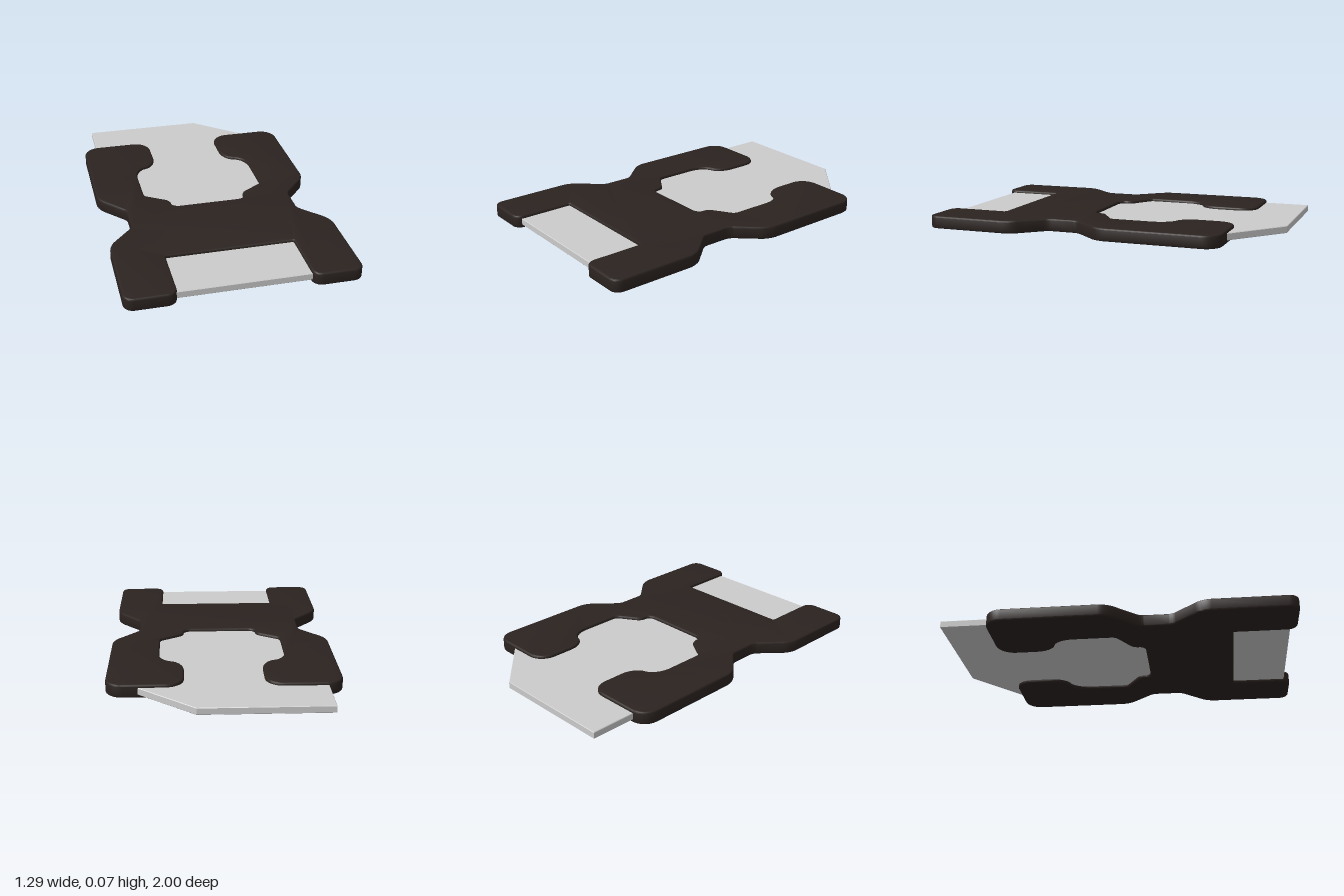
import * as THREE from 'three';
import { toCreasedNormals } from 'three/addons/utils/BufferGeometryUtils.js';

// Closed shape through [x, z, radius] corners, each rounded by its radius
function roundedShape(corners) {
  const shape = new THREE.Shape();
  const n = corners.length;
  const at = (i) => new THREE.Vector2(corners[(i + n) % n][0], corners[(i + n) % n][1]);
  for (let i = 0; i < n; i++) {
    const c = at(i), r = corners[i][2];
    const toward = (p, k) => {
      const d = p.clone().sub(c);
      return d.clone().setLength(Math.min(r, d.length() * 0.49) * k).add(c);
    };
    const a = toward(at(i - 1), 1), b = toward(at(i + 1), 1);
    if (i === 0) shape.moveTo(a.x, a.y);
    else shape.lineTo(a.x, a.y);
    if (r > 0) {
      const ca = a.clone().lerp(c, 0.55), cb = b.clone().lerp(c, 0.55);
      shape.bezierCurveTo(ca.x, ca.y, cb.x, cb.y, b.x, b.y);
    }
  }
  shape.closePath();
  return shape;
}

// Flat slab lying between two heights, with softened edges
function slab(name, corners, y0, y1, bevel, segments, color) {
  const geometry = new THREE.ExtrudeGeometry(roundedShape(corners), {
    depth: y1 - y0 - 2 * bevel,
    bevelEnabled: true,
    bevelSize: bevel,
    bevelThickness: bevel,
    bevelOffset: -bevel,
    bevelSegments: segments,
    curveSegments: 8,
  });
  geometry.rotateX(Math.PI / 2); // shape y becomes z, depth runs downward
  geometry.translate(0, y1 - bevel, 0);
  const mesh = new THREE.Mesh(
    toCreasedNormals(geometry, 0.6),
    new THREE.MeshStandardMaterial({ color })
  );
  mesh.name = name;
  return mesh;
}

export function createModel() {
  const group = new THREE.Group();
  group.name = 'clipAndPlate';

  // Right half of the clip outline, from the front notch round to the window
  const half = [
    [0.363, 0.645, 0.01],
    [0.363, 1.0, 0.055],
    [0.645, 1.0, 0.055],
    [0.645, 0.475, 0.05],
    [0.492, 0.305, 0.025],
    [0.492, 0.125, 0.025],
    [0.645, -0.045, 0.05],
    [0.645, -0.735, 0.095],
    [0.22, -0.735, 0.1],
    [0.22, -0.41, 0.1],
    [0.362, -0.375, 0.1],
    [0.362, -0.03, 0.02],
    [0.22, 0.06, 0.03],
    [0.22, 0.132, 0.045],
  ];
  const mirrored = half.map(([x, z, r]) => [-x, z, r]).reverse();
  group.add(slab('clipFrame', [...half, ...mirrored], 0, 0.074, 0.01, 3, 0x2b2320));

  // Plate held in the clip, its rear corner cut off
  const plate = [
    [-0.42, 0.963, 0],
    [0.42, 0.963, 0],
    [0.42, -0.4, 0],
    [0.56, -0.6, 0],
    [0.56, -0.655, 0],
    [0.157, -1.0, 0],
    [-0.56, -1.0, 0],
    [-0.56, -0.6, 0],
    [-0.42, -0.4, 0],
  ];
  group.add(slab('plate', plate, 0.018, 0.058, 0.003, 1, 0xcccccc));

  return group;
}
